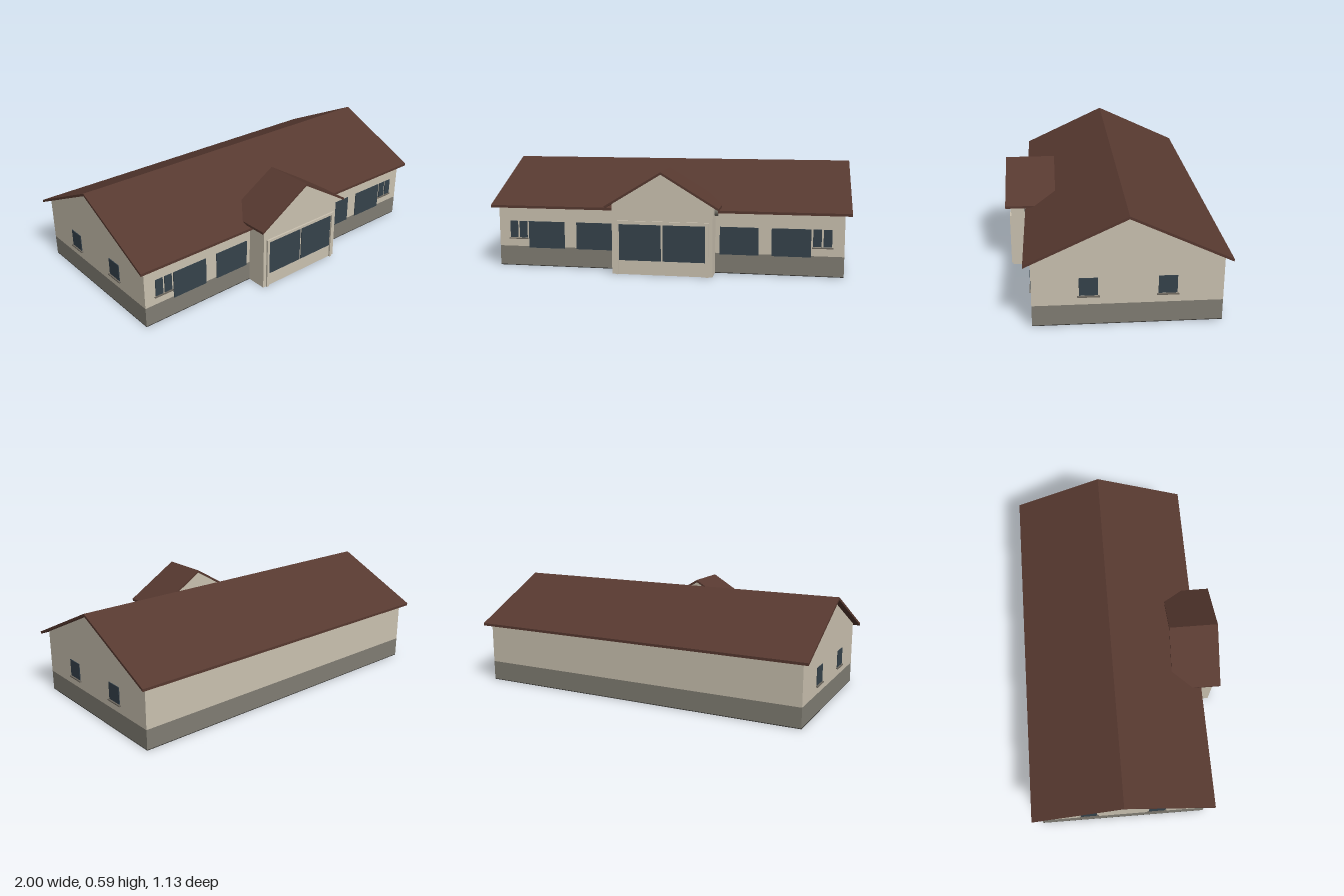
import * as THREE from 'three';

const mat = (name, color) => {
  const m = new THREE.MeshStandardMaterial({ color });
  m.name = name;
  return m;
};

export function createModel() {
  const group = new THREE.Group();
  const wall = mat('beige wall', 0xcac1b0);
  const stone = mat('grey plinth', 0x807d73);
  const roofMat = mat('brown roof', 0x573930);
  const glass = mat('dark glass', 0x35424b);
  const floorMat = mat('dark floor', 0x3a3835);
  const trim = mat('grey trim', 0x6c675e);

  const add = (name, geo, material) => {
    const mesh = new THREE.Mesh(geo, material);
    mesh.name = name;
    group.add(mesh);
    return mesh;
  };
  // box from its minimum and maximum corners
  const box = (name, material, x0, x1, y0, y1, z0, z1) => {
    const geo = new THREE.BoxGeometry(x1 - x0, y1 - y0, z1 - z0);
    geo.translate((x0 + x1) / 2, (y0 + y1) / 2, (z0 + z1) / 2);
    return add(name, geo, material);
  };
  const extrude = (pts, depth) => new THREE.ExtrudeGeometry(
    new THREE.Shape(pts.map(([x, y]) => new THREE.Vector2(x, y))),
    { depth, bevelEnabled: false });
  // house-shaped wall section and chevron roof section
  const gable = (w, y0, eave, apex) => [[-w, y0], [w, y0], [w, eave], [0, apex], [-w, eave]];
  const chevron = (w, eave, apex, t) =>
    [[-w, eave - t], [0, apex - t], [w, eave - t], [w, eave], [0, apex], [-w, eave]];

  // main building, with its ridge running along x
  const mid = -0.055, hx = 0.965, hz = 0.475, front = mid + hz;
  const alongX = (pts, half) =>
    extrude(pts, half * 2).translate(0, 0, -half).rotateY(Math.PI / 2).translate(0, 0, mid);
  box('floor', floorMat, -hx, hx, 0, 0.004, mid - hz, front);
  box('plinth', stone, -hx, hx, 0.004, 0.112, mid - hz, front);
  add('mainWalls', alongX(gable(hz, 0.112, 0.355, 0.576), hx), wall);
  add('mainRoof', alongX(chevron(0.51, 0.35, 0.588, 0.014), 1), roofMat);

  // entrance porch, with its ridge running along z
  add('porchWalls', extrude(gable(0.275, 0, 0.386, 0.552), 0.235).translate(0, 0, 0.3), wall);
  add('porchRoof', extrude(chevron(0.31, 0.375, 0.563, 0.013), 0.28).translate(0, 0, 0.285), roofMat);
  box('entranceLintel', wall, -0.255, 0.255, 0.28, 0.295, 0.535, 0.545);
  for (const s of [-1, 1]) {
    const a = s * 0.24, b = s * 0.255, c = s * 0.005, d = s * 0.235;
    box('entrancePost', wall, Math.min(a, b), Math.max(a, b), 0, 0.28, 0.535, 0.545);
    box('entranceGlass', glass, Math.min(c, d), Math.max(c, d), 0.078, 0.275, 0.535, 0.539);
  }

  // front windows: two large and one small pair on each side
  for (const s of [-1, 1]) {
    const pane = (name, a, b, y0, y1) =>
      box(name, glass, Math.min(s * a, s * b), Math.max(s * a, s * b), y0, y1, front, front + 0.004);
    pane('largeWindow', 0.30, 0.51, 0.105, 0.257);
    pane('largeWindow', 0.58, 0.79, 0.105, 0.257);
    pane('smallWindow', 0.80, 0.845, 0.163, 0.257);
    pane('smallWindow', 0.855, 0.90, 0.163, 0.257);
    const sill = [s * 0.795, s * 0.907].sort((p, q) => p - q);
    box('frontSill', trim, sill[0], sill[1], 0.154, 0.16, front, front + 0.008);
  }

  // two windows with sills on each end wall
  for (const s of [-1, 1]) {
    for (const z of [0.14, -0.252]) {
      const x0 = s > 0 ? hx : -hx - 0.004, x1 = x0 + 0.004;
      box('endWindow', glass, x0, x1, 0.163, 0.257, z - 0.047, z + 0.047);
      const sx = s > 0 ? hx : -hx - 0.01;
      box('endSill', trim, sx, sx + 0.01, 0.154, 0.16, z - 0.055, z + 0.055);
    }
  }

  // small round wall fitting under the eave beside the porch
  const fitting = new THREE.CylinderGeometry(0.026, 0.026, 0.018, 20);
  fitting.rotateZ(Math.PI / 2).translate(0.284, 0.345, 0.436);
  add('wallFitting', fitting, stone);

  return group;
}
